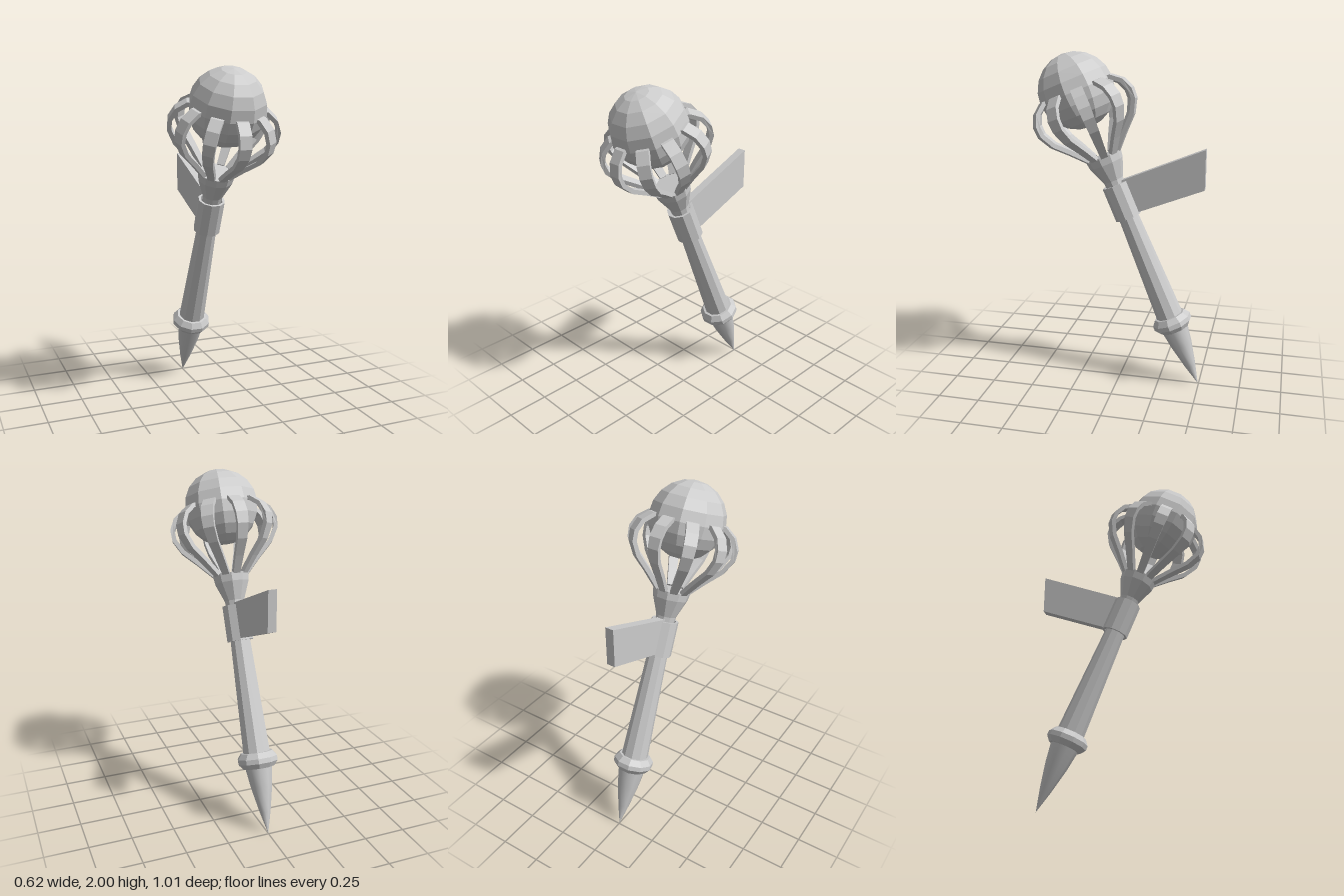
import * as THREE from 'three';

const SIDES = 10;
const TILT = THREE.MathUtils.degToRad(22.9);

const flat = new THREE.MeshStandardMaterial({ color: 0xcccccc, flatShading: true, side: THREE.DoubleSide });
const smooth = new THREE.MeshStandardMaterial({ color: 0xcccccc, side: THREE.DoubleSide });

function addMesh(parent, name, geometry, material = flat) {
  const mesh = new THREE.Mesh(geometry, material);
  mesh.name = name;
  parent.add(mesh);
  return mesh;
}

// Ten-sided turned part with a flat face to the front; points are [radius, height]
function turned(points) {
  return new THREE.LatheGeometry(points.map(([r, y]) => new THREE.Vector2(r, y)), SIDES, Math.PI / SIDES);
}

// Bent strip, narrower at the foot than at the tip
function ribGeometry() {
  const outer = [
    [0.105, -0.41], [0.185, -0.325], [0.268, -0.244], [0.312, -0.165],
    [0.315, -0.1], [0.285, -0.035], [0.225, 0.012], [0.165, 0.018],
  ].map(([x, y]) => new THREE.Vector2(x, y));
  const inner = outer.map((p, i) => {
    const a = outer[Math.max(i - 1, 0)];
    const b = outer[Math.min(i + 1, outer.length - 1)];
    const t = b.clone().sub(a).normalize();
    return new THREE.Vector2(p.x - t.y * 0.025, p.y + t.x * 0.025);
  });
  const shape = new THREE.Shape([...outer, ...inner.reverse()]);
  const geometry = new THREE.ExtrudeGeometry(shape, { depth: 1, bevelEnabled: false });
  geometry.translate(0, 0, -0.5);
  const pos = geometry.attributes.position;
  for (let i = 0; i < pos.count; i++) {
    const width = THREE.MathUtils.mapLinear(THREE.MathUtils.clamp(pos.getY(i), -0.41, -0.1), -0.41, -0.1, 0.042, 0.07);
    pos.setZ(i, pos.getZ(i) * width);
  }
  geometry.computeVertexNormals();
  return geometry;
}

export function createModel() {
  const model = new THREE.Group();
  model.name = 'wallTorch';

  // Everything along the leaning axis, measured up from the spike's tip
  const torch = new THREE.Group();
  torch.name = 'torch';
  torch.position.z = -0.495;
  torch.rotation.x = TILT;
  model.add(torch);

  addMesh(torch, 'spike', turned([[0, 0], [0.034, 0.13], [0.066, 0.28], [0.085, 0.41]]), smooth);
  addMesh(torch, 'ring', turned([
    [0.07, 0.39], [0.095, 0.39], [0.12, 0.42], [0.12, 0.448], [0.095, 0.48], [0.07, 0.48],
  ]));
  addMesh(torch, 'shaft', turned([[0.082, 0.44], [0.058, 1.2], [0.055, 1.37]]));
  addMesh(torch, 'collar', turned([
    [0.066, 1.137], [0.08, 1.137], [0.08, 1.347], [0.066, 1.347], [0.066, 1.137],
  ]));
  addMesh(torch, 'cup', turned([
    [0, 1.33], [0.055, 1.33], [0.06, 1.375], [0.103, 1.482], [0.11, 1.53], [0, 1.53],
  ]));

  // Head: ball held by a cage of ribs
  const head = new THREE.Group();
  head.name = 'head';
  head.position.y = 1.932;
  torch.add(head);
  addMesh(head, 'ball', new THREE.SphereGeometry(0.222, SIDES, 10));
  const rib = ribGeometry();
  for (let i = 0; i < SIDES; i++) {
    addMesh(head, 'rib', rib).rotation.y = (i * 2 * Math.PI) / SIDES - Math.PI / 2;
  }

  // Wall bracket: slanted plate with an upright back edge, drawn as [-z, y]
  const plate = new THREE.Shape([[0.1, 1.08], [0.5, 1.237], [0.5, 1.472], [0.01, 1.27]]
    .map(([a, y]) => new THREE.Vector2(a, y)));
  const bracket = new THREE.ExtrudeGeometry(plate, { depth: 0.05, bevelEnabled: false });
  bracket.translate(0, 0, -0.025).rotateY(Math.PI / 2);
  addMesh(model, 'bracket', bracket);

  return model;
}
